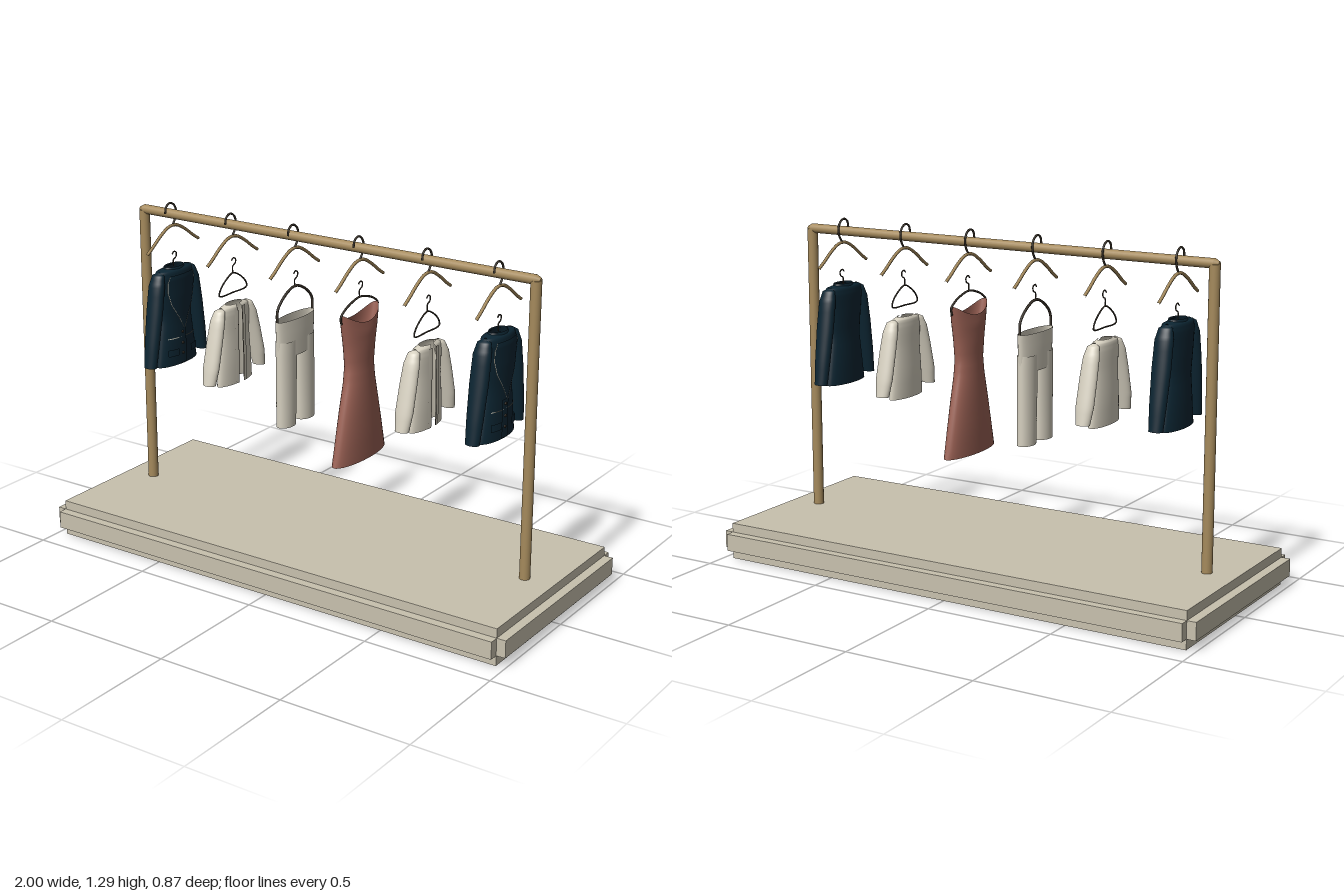
import * as THREE from 'three';
import { mergeVertices } from 'three/addons/utils/BufferGeometryUtils.js';

const mat = (name, color, side = THREE.FrontSide) => {
  const m = new THREE.MeshStandardMaterial({ color, side });
  m.name = name;
  return m;
};

export function createModel() {
  const D = THREE.DoubleSide;
  const stone = mat('stone', 0xc8c1ae);
  const wood = mat('wood', 0xa58a5c);
  const wire = mat('darkWire', 0x3a332a);
  const navy = mat('navyCloth', 0x0c2532, D);
  const cream = mat('creamCloth', 0xd6d0c0, D);
  const rose = mat('roseCloth', 0x9c6255, D);
  const trim = mat('paleTrim', 0xdedac8, D);

  const model = new THREE.Group();
  model.name = 'clothesRack';

  const add = (parent, name, geo, material, x = 0, y = 0, z = 0) => {
    const m = new THREE.Mesh(geo, material);
    m.name = name;
    m.position.set(x, y, z);
    parent.add(m);
    return m;
  };
  // Round wire through [y, z] points, lying in the plane x = 0
  const bend = (parent, name, pts, r, material, closed = false) => {
    const c = new THREE.CatmullRomCurve3(pts.map(([y, z]) => new THREE.Vector3(0, y, z)), closed);
    return add(parent, name, new THREE.TubeGeometry(c, 40, r, 8, closed), material);
  };
  // Grid of points turned into a smooth surface
  const gridGeo = (rows, cols, point) => {
    const pos = [], idx = [];
    for (let i = 0; i <= rows; i++)
      for (let j = 0; j <= cols; j++) pos.push(...point(i / rows, j / cols));
    for (let i = 0; i < rows; i++)
      for (let j = 0; j < cols; j++) {
        const a = i * (cols + 1) + j, b = a + cols + 1;
        idx.push(a, b, a + 1, b, b + 1, a + 1);
      }
    let g = new THREE.BufferGeometry();
    g.setAttribute('position', new THREE.Float32BufferAttribute(pos, 3));
    g.setIndex(idx);
    g = mergeVertices(g, 1e-5);
    g.computeVertexNormals();
    return g;
  };
  // Number list read at fraction t along a list of rows
  const sample = (list, t) => {
    const f = Math.min(t, 0.99999) * (list.length - 1), i = Math.floor(f);
    return list[i].map((v, k) => THREE.MathUtils.lerp(v, list[i + 1][k], f - i));
  };
  // Cloth tube from [y, rx, rz, cz] rings; gap leaves it open at the front
  const cloth = (parent, name, rings, material, gap = 0, wave = () => 0) =>
    add(parent, name, gridGeo((rings.length - 1) * 3, 32, (u, v) => {
      const [y, rx, rz, cz] = sample(rings, u);
      const a = gap + v * (Math.PI * 2 - 2 * gap);
      return [rx * Math.cos(a), y + wave(a, u), cz + rz * Math.sin(a)];
    }), material);
  // Thin patch lying on the front of a cloth body, from [y, z0, z1] rows
  const patch = (parent, name, body, rows, material, lift) =>
    add(parent, name, gridGeo((rows.length - 1) * 5, 8, (u, v) => {
      const [y, z0, z1] = sample(rows, u);
      const z = z0 + (z1 - z0) * v;
      let k = 0;
      while (k < body.length - 2 && body[k + 1][0] < y) k++;
      const [a, b] = [body[k], body[k + 1]];
      const t = THREE.MathUtils.clamp((y - a[0]) / (b[0] - a[0]), 0, 1);
      const rx = a[1] + (b[1] - a[1]) * t, rz = a[2] + (b[2] - a[2]) * t;
      return [rx * Math.sqrt(Math.max(0, 1 - (z / rz) ** 2)) + lift, y, z];
    }), material);
  const mirrorZ = rows => rows.map(([y, a, b]) => [y, -b, -a]);
  const pair = (parent, name, body, rows, material, lift) => {
    patch(parent, name + 'Left', body, rows, material, lift);
    patch(parent, name + 'Right', body, mirrorZ(rows), material, lift);
  };
  const sleeves = (parent, name, rings, material) => [1, -1].forEach(s =>
    cloth(parent, name, rings.map(([y, a, b, c]) => [y, a, b, c * s]), material));

  // Plinth with a raised band around its middle
  add(model, 'plinthCore', new THREE.BoxGeometry(1.93, 0.14, 0.8), stone, 0, 0.07);
  add(model, 'plinthEndBand', new THREE.BoxGeometry(2, 0.066, 0.8), stone, 0, 0.072);
  add(model, 'plinthSideBand', new THREE.BoxGeometry(1.93, 0.066, 0.87), stone, 0, 0.072);

  // Posts and rail
  for (const s of [-1, 1]) {
    add(model, 'post', new THREE.CylinderGeometry(0.02, 0.02, 1.1, 20), wood, s * 0.85, 0.69);
    const tip = add(model, 'railTip', new THREE.CylinderGeometry(0.008, 0.018, 0.018, 20), wood, s * 0.859, 1.242);
    tip.rotation.z = -s * Math.PI / 2;
  }
  const rail = add(model, 'rail', new THREE.CylinderGeometry(0.018, 0.018, 1.7, 20), wood, 0, 1.242);
  rail.rotation.z = Math.PI / 2;

  // Curved wooden hanger with a hook over the rail
  const railHanger = g => {
    bend(g, 'hangerArms', [[1.113, 0.155], [1.132, 0.125], [1.168, 0.075], [1.192, 0.03], [1.197, 0],
      [1.192, -0.03], [1.168, -0.075], [1.132, -0.125], [1.113, -0.155]], 0.006, wood);
    bend(g, 'hangerHook', [[1.197, 0], [1.222, -0.018], [1.25, -0.024], [1.275, -0.012],
      [1.286, 0.012], [1.275, 0.034], [1.25, 0.041]], 0.004, wire);
  };
  // Small wire hanger inside each garment
  const wireHook = (g, y) => bend(g, 'wireHook', [[y, 0], [y + 0.025, 0], [y + 0.035, -0.016],
    [y + 0.05, -0.018], [y + 0.057, -0.004], [y + 0.048, 0.008]], 0.0025, wire);
  const wireLoop = g => {
    bend(g, 'wireLoop', [[0.985, 0.085], [1.01, 0.075], [1.045, 0.03], [1.056, 0], [1.045, -0.03],
      [1.01, -0.075], [0.985, -0.085], [0.98, 0]], 0.003, wire, true);
    wireHook(g, 1.056);
  };

  const jacket = g => {
    const body = [[0.655, 0.042, 0.115, 0], [0.75, 0.041, 0.1, 0], [0.84, 0.038, 0.086, 0],
      [0.93, 0.042, 0.095, 0], [1, 0.042, 0.106, 0], [1.028, 0.038, 0.098, 0], [1.036, 0.024, 0.05, 0]];
    cloth(g, 'jacketBody', body, navy);
    cloth(g, 'jacketCollar', [[1.015, 0.036, 0.06, 0], [1.042, 0.028, 0.048, 0]], navy);
    sleeves(g, 'jacketSleeve', [[0.668, 0.027, 0.02, 0.155], [0.76, 0.032, 0.023, 0.141],
      [0.88, 0.036, 0.024, 0.121], [0.98, 0.035, 0.024, 0.104], [1.02, 0.026, 0.018, 0.093],
      [1.032, 0.004, 0.004, 0.085]], navy);
    // Lapels with a pale edge
    const edge = [[0.8, 0.002], [0.85, 0.03], [0.9, 0.062], [0.95, 0.077], [0.99, 0.078], [1.015, 0.066]];
    pair(g, 'lapel', body, edge.map(([y, z]) => [y, 0, z]), navy, 0.006);
    pair(g, 'lapelEdge', body, edge.map(([y, z]) => [y, z - 0.001, z + 0.002]), trim, 0.007);
    patch(g, 'waistLine', body, [[0.763, -0.08, 0.08], [0.766, -0.08, 0.08]], trim, 0.004);
    pair(g, 'pocketFlap', body, [[0.695, 0.035, 0.085], [0.722, 0.035, 0.085]], navy, 0.007);
    patch(g, 'frontOverlap', body, [[0.66, -0.01, 0.03], [0.8, -0.01, 0.03]], navy, 0.004);
    for (const y of [0.7, 0.74, 0.785]) {
      const b = add(g, 'button', new THREE.CylinderGeometry(0.005, 0.005, 0.005, 12), wire, 0.047, y, 0.012);
      b.rotation.z = Math.PI / 2;
    }
    wireHook(g, 1.036);
  };

  const shirt = g => {
    const body = [[0.63, 0.031, 0.102, 0], [0.72, 0.032, 0.096, 0], [0.82, 0.03, 0.087, 0],
      [0.9, 0.03, 0.09, 0], [0.93, 0.028, 0.082, 0], [0.941, 0.02, 0.045, 0]];
    cloth(g, 'shirtBody', body, cream, 0.17);
    sleeves(g, 'shirtSleeve', [[0.655, 0.027, 0.02, 0.156], [0.72, 0.035, 0.022, 0.142],
      [0.82, 0.034, 0.022, 0.117], [0.89, 0.031, 0.022, 0.098], [0.925, 0.022, 0.018, 0.085],
      [0.935, 0.004, 0.004, 0.078]], cream);
    // Open front edges
    pair(g, 'frontBand', body, [[0.632, 0.018, 0.034], [0.93, 0.015, 0.032]], cream, 0.004);
    pair(g, 'frontEdge', body, [[0.632, 0.015, 0.018], [0.93, 0.012, 0.015]], wire, 0.004);
    wireLoop(g);
  };

  const trousers = g => {
    // Waist flows into two straight legs
    cloth(g, 'waist', [[0.8, 0.031, 0.106, 0], [0.88, 0.032, 0.112, 0], [0.94, 0.031, 0.116, 0]], cream);
    for (const s of [-1, 1])
      cloth(g, 'leg', [[0.527, 0.031, 0.046, 0.06 * s], [0.7, 0.031, 0.05, 0.057 * s],
        [0.86, 0.031, 0.053, 0.055 * s]], cream);
    bend(g, 'trouserHanger', [[0.94, 0.112], [0.985, 0.108], [1.025, 0.07], [1.05, 0.02], [1.052, 0],
      [1.05, -0.02], [1.025, -0.07], [0.985, -0.108], [0.94, -0.112]], 0.005, wire);
    wireHook(g, 1.052);
  };

  const dress = g => {
    // Flared skirt, narrow waist and a dipping neckline
    cloth(g, 'dressBody', [[0.45, 0.046, 0.162, 0], [0.55, 0.046, 0.138, 0], [0.65, 0.044, 0.113, 0],
      [0.75, 0.041, 0.086, 0], [0.81, 0.04, 0.077, 0], [0.88, 0.043, 0.084, 0],
      [0.95, 0.044, 0.098, 0], [1.017, 0.04, 0.112, 0]], rose, 0,
    (a, u) => -0.04 * Math.cos(a) ** 2 * Math.max(0, u - 0.8) * 5);
    bend(g, 'dressHanger', [[0.985, 0.115], [1.01, 0.12], [1.035, 0.09], [1.056, 0.03], [1.06, 0],
      [1.056, -0.03], [1.035, -0.09], [1.01, -0.12], [0.985, -0.115]], 0.004, wire);
    wireHook(g, 1.06);
  };

  // Garments spaced evenly along the rail
  const row = [['jacket', jacket], ['shirt', shirt], ['trousers', trousers],
    ['dress', dress], ['shirt', shirt], ['jacket', jacket]];
  row.forEach(([name, build], i) => {
    const g = new THREE.Group();
    g.name = name;
    g.position.x = -0.715 + 0.285 * i;
    railHanger(g);
    build(g);
    model.add(g);
  });
  return model;
}
